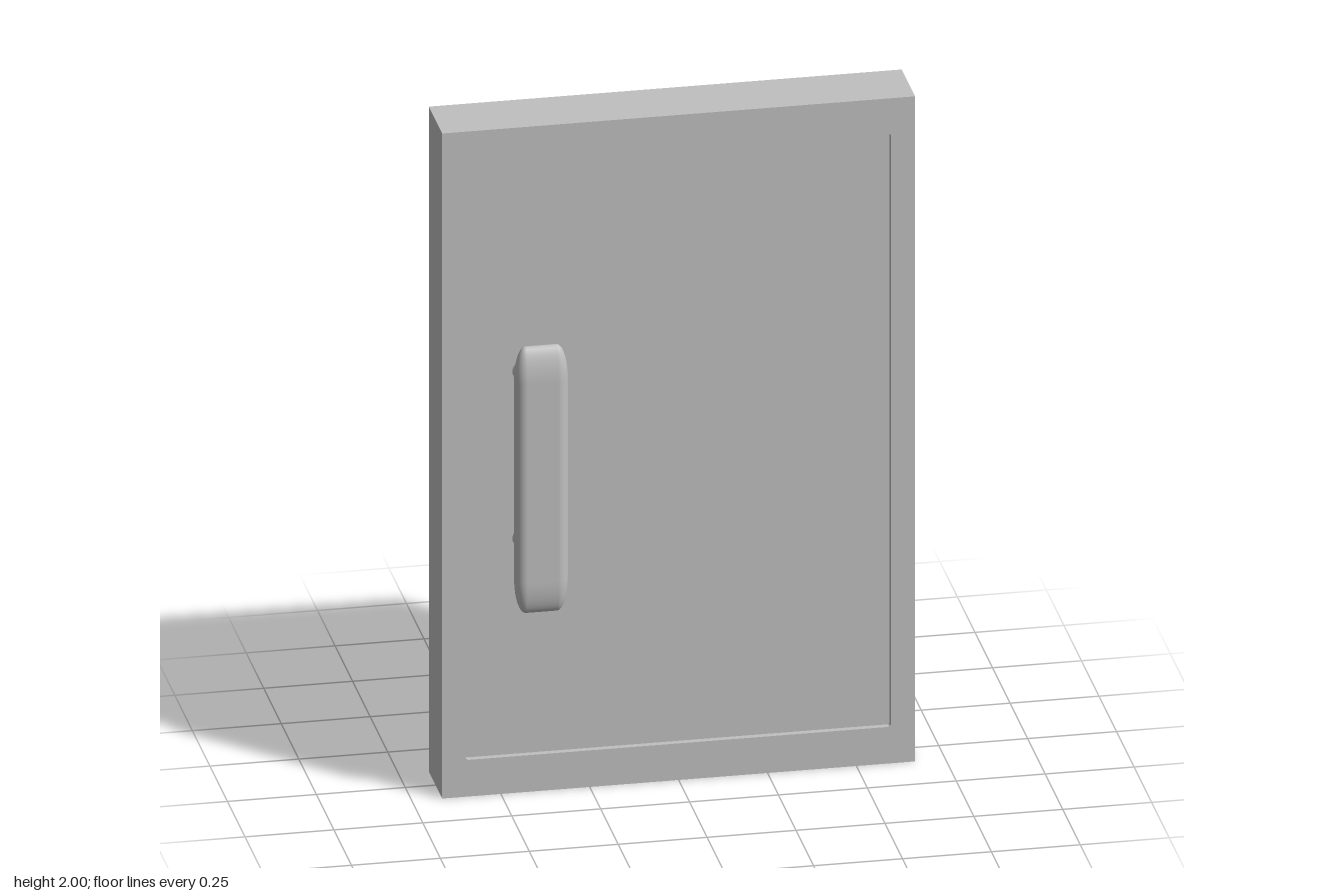
import * as THREE from 'three';
import { RoundedBoxGeometry } from 'three/addons/geometries/RoundedBoxGeometry.js';

const DEPTH = 0.19, RECESS = 0.018;

// Rectangle outline with small rounded corners
function roundedRect(path, x0, y0, x1, y1, r) {
  path.moveTo(x0 + r, y0);
  path.lineTo(x1 - r, y0);
  path.quadraticCurveTo(x1, y0, x1, y0 + r);
  path.lineTo(x1, y1 - r);
  path.quadraticCurveTo(x1, y1, x1 - r, y1);
  path.lineTo(x0 + r, y1);
  path.quadraticCurveTo(x0, y1, x0, y1 - r);
  path.lineTo(x0, y0 + r);
  path.quadraticCurveTo(x0, y0, x0 + r, y0);
  return path;
}

export function createModel() {
  const model = new THREE.Group();
  model.name = 'door';
  const grey = new THREE.MeshStandardMaterial({ color: 0xc0c0c0 });
  grey.name = 'plain grey';

  const add = (parent, name, geometry, x = 0, y = 0, z = 0) => {
    const mesh = new THREE.Mesh(geometry, grey);
    mesh.name = name;
    mesh.position.set(x, y, z);
    parent.add(mesh);
    return mesh;
  };

  // Frame around the recessed panel
  const outline = new THREE.Shape([
    new THREE.Vector2(-0.665, 0), new THREE.Vector2(0.665, 0),
    new THREE.Vector2(0.665, 2), new THREE.Vector2(-0.665, 2),
  ]);
  outline.holes.push(roundedRect(new THREE.Path(), -0.598, 0.11, 0.597, 1.895, 0.01));
  const frame = new THREE.ExtrudeGeometry(outline, { depth: DEPTH, bevelEnabled: false, curveSegments: 4 });
  add(model, 'frame', frame, 0, 0, -DEPTH / 2);

  // Panel, set back on both faces
  add(model, 'panel', new THREE.BoxGeometry(1.21, 1.8, DEPTH - 2 * RECESS), 0, 1.0025, 0);

  // Pull handle with two posts on each face
  for (const side of [1, -1]) {
    const handle = new THREE.Group();
    handle.name = side > 0 ? 'frontHandle' : 'backHandle';
    model.add(handle);

    // Rounded bar, stretched so its ends taper gently
    const stretch = 3.2;
    const bar = new RoundedBoxGeometry(0.15, 0.8 / stretch, 0.064, 6, 0.0315);
    bar.scale(1, stretch, 1);
    add(handle, 'grip', bar, -0.423, 1.02, side * 0.277);

    for (const y of [0.758, 1.26]) {
      const post = add(handle, 'post', new THREE.CylinderGeometry(0.032, 0.032, 0.2, 24), -0.432, y, side * 0.17);
      post.rotation.x = Math.PI / 2;
    }
  }
  return model;
}
